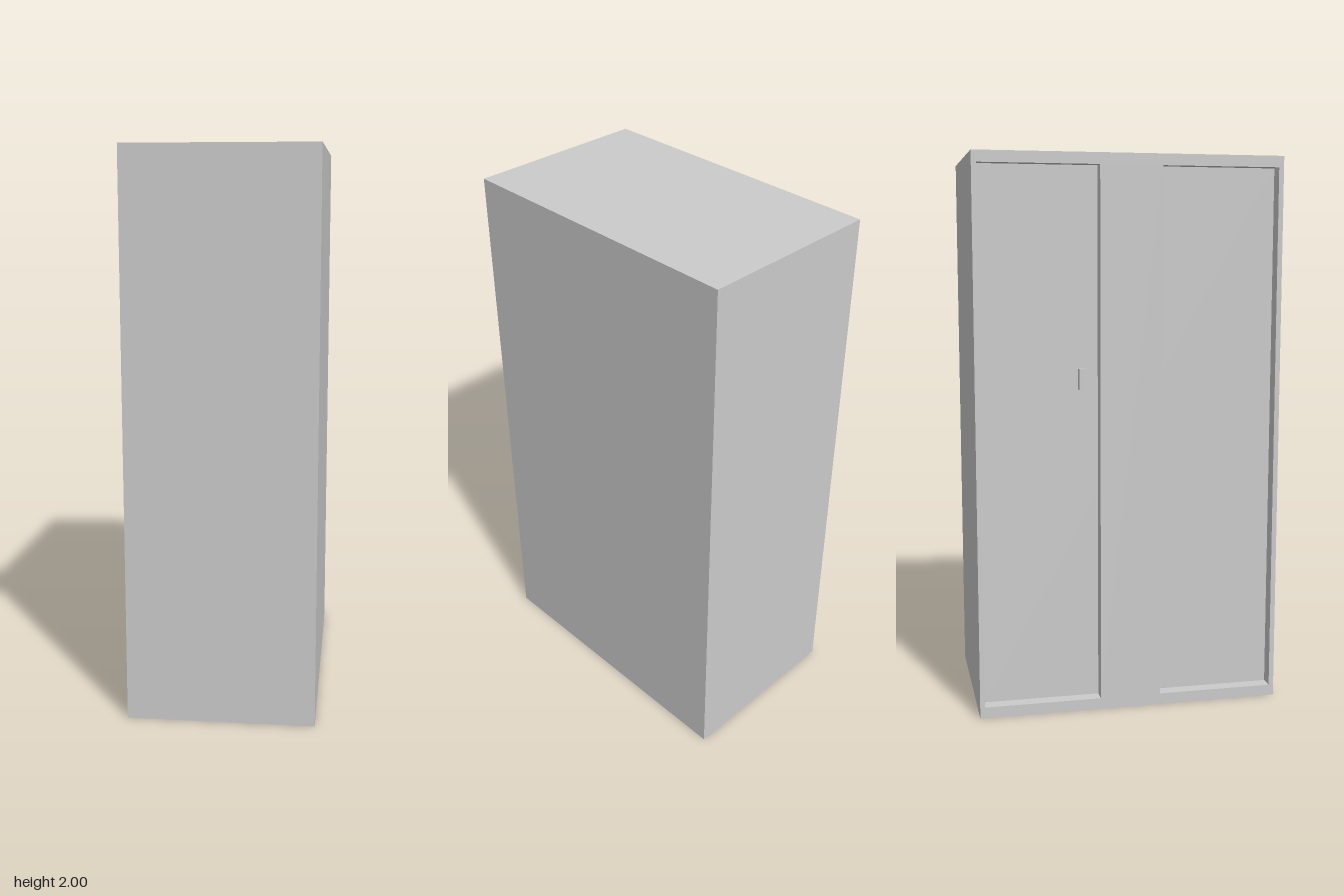
import * as THREE from 'three';

const W = 0.667, H = 2, D = 1.11;   // overall size in x, y, z
const RECESS = 0.05;                // how deep the door panels sit
const BORDER = 0.04;                // frame above and below the doors
const DOOR_INNER = 0.112, DOOR_OUTER = 0.537;

// Outlines a rectangle on a Shape or Path
function rect(path, x0, y0, x1, y1) {
  path.moveTo(x0, y0);
  path.lineTo(x1, y0);
  path.lineTo(x1, y1);
  path.lineTo(x0, y1);
  path.closePath();
  return path;
}

export function createModel() {
  const group = new THREE.Group();
  const material = new THREE.MeshStandardMaterial({ color: 0xcccccc });

  function add(name, geometry, x, y, z) {
    const mesh = new THREE.Mesh(geometry, material);
    mesh.name = name;
    mesh.position.set(x, y, z);
    group.add(mesh);
  }

  // Closed cabinet body; its -x face forms the two recessed door panels
  add('cabinetBody', new THREE.BoxGeometry(W - RECESS, H, D), RECESS / 2, H / 2, 0);

  // Frame around the two tall doors, extruded towards -x
  const frame = rect(new THREE.Shape(), -D / 2, 0, D / 2, H);
  for (const [z0, z1] of [[-DOOR_OUTER, -DOOR_INNER], [DOOR_INNER, DOOR_OUTER]]) {
    frame.holes.push(rect(new THREE.Path(), z0, BORDER, z1, H - BORDER));
  }
  const frameGeometry = new THREE.ExtrudeGeometry(frame, { depth: RECESS, bevelEnabled: false });
  frameGeometry.rotateY(-Math.PI / 2);
  add('doorFrame', frameGeometry, -W / 2 + RECESS, 0, 0);

  // Small handle on one door
  add('doorHandle', new THREE.BoxGeometry(0.024, 0.075, 0.02), -W / 2 + RECESS - 0.012, 1.215, -0.173);

  return group;
}
